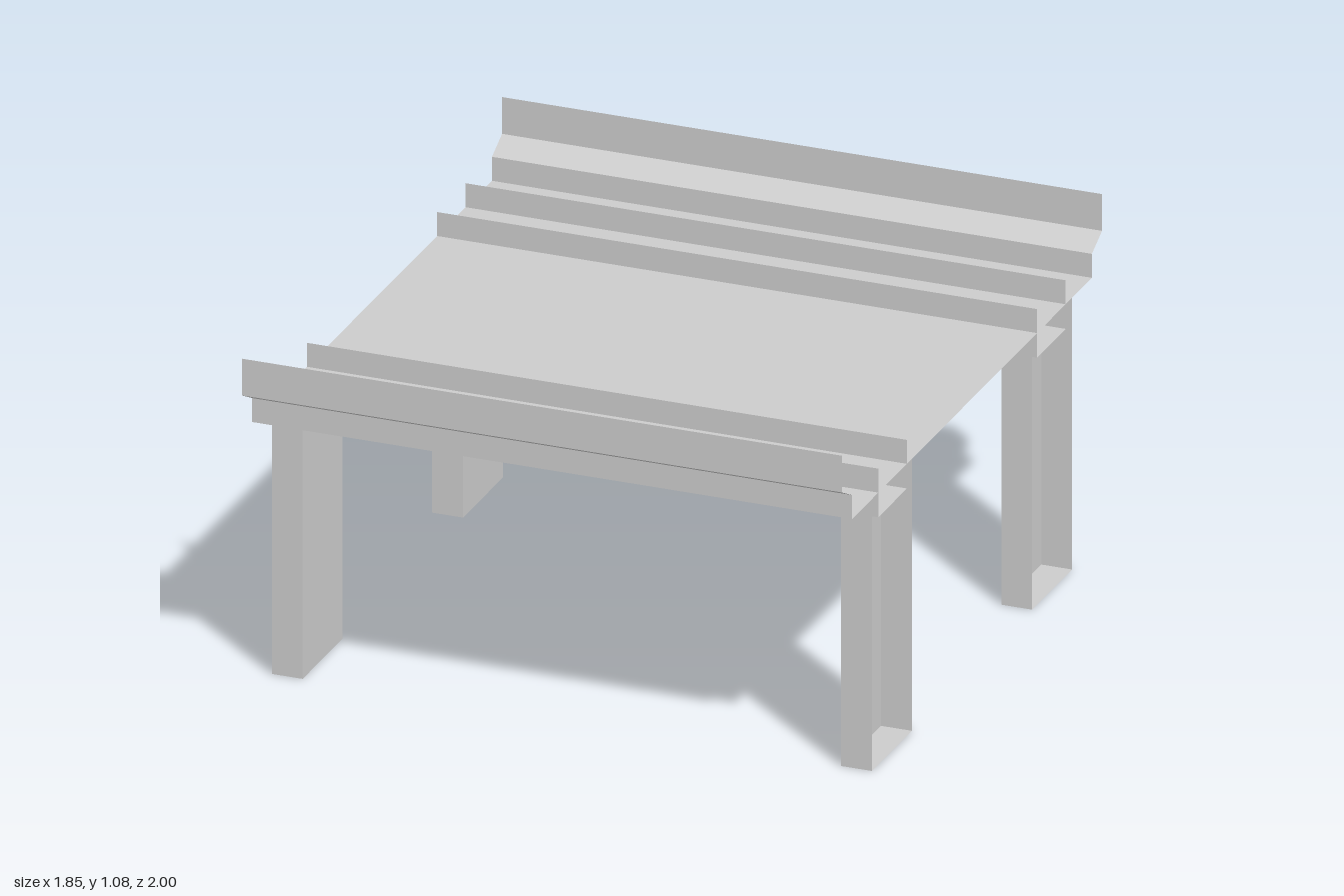
import * as THREE from 'three';

const HALF = 0.925;   // half length along x
const DECK = 0.85;    // deck height
const material = new THREE.MeshStandardMaterial({ color: 0xcccccc, side: THREE.DoubleSide, flatShading: true });

// Thin rectangular plate, turned about x and y
function plate(name, w, h, pos, rx = 0, ry = 0) {
  const mesh = new THREE.Mesh(new THREE.PlaneGeometry(w, h), material);
  mesh.name = name;
  mesh.position.set(...pos);
  mesh.rotation.set(rx, ry, 0);
  return mesh;
}

// Folded sheet: a [z, y] profile swept along x, one flat panel per fold
function foldedSheet(name, profile) {
  const group = new THREE.Group();
  group.name = name;
  for (let i = 0; i < profile.length - 1; i++) {
    const [z0, y0] = profile[i], [z1, y1] = profile[i + 1];
    const angle = Math.atan2(z1 - z0, y1 - y0);
    group.add(plate(name + 'Panel', 2 * HALF, Math.hypot(z1 - z0, y1 - y0),
      [0, (y0 + y1) / 2, (z0 + z1) / 2], angle));
  }
  return group;
}

// Leg: a channel open to the outside, closed by a foot plate
function leg(sx, sz) {
  const group = new THREE.Group();
  group.name = 'leg';
  const inner = 0.83, depth = HALF - inner, z0 = 0.463, z1 = 0.77;
  const xc = sx * (inner + HALF) / 2, zc = sz * (z0 + z1) / 2;
  group.add(plate('legWeb', z1 - z0, DECK, [sx * inner, DECK / 2, zc], 0, Math.PI / 2));
  for (const z of [z0, z1]) group.add(plate('legFlange', depth, DECK, [xc, DECK / 2, sz * z]));
  group.add(plate('footPlate', depth, z1 - z0, [xc, 0, zc], -Math.PI / 2));
  return group;
}

export function createModel() {
  const model = new THREE.Group();
  model.name = 'table';

  // Deck with flared, upturned edges
  model.add(foldedSheet('deck', [
    [-1, 1.08], [-1, 0.965], [-0.922, 0.925], [-0.922, DECK],
    [0.922, DECK], [0.922, 0.925], [1, 0.965], [1, 1.08],
  ]));

  for (const sz of [-1, 1]) {
    // U-shaped cross rail passing through the deck above the legs
    model.add(foldedSheet('crossRail', [
      [sz * 0.5, 0.925], [sz * 0.5, 0.773], [sz * 0.72, 0.773], [sz * 0.72, 0.925],
    ]));
    for (const sx of [-1, 1]) model.add(leg(sx, sz));
  }
  return model;
}
